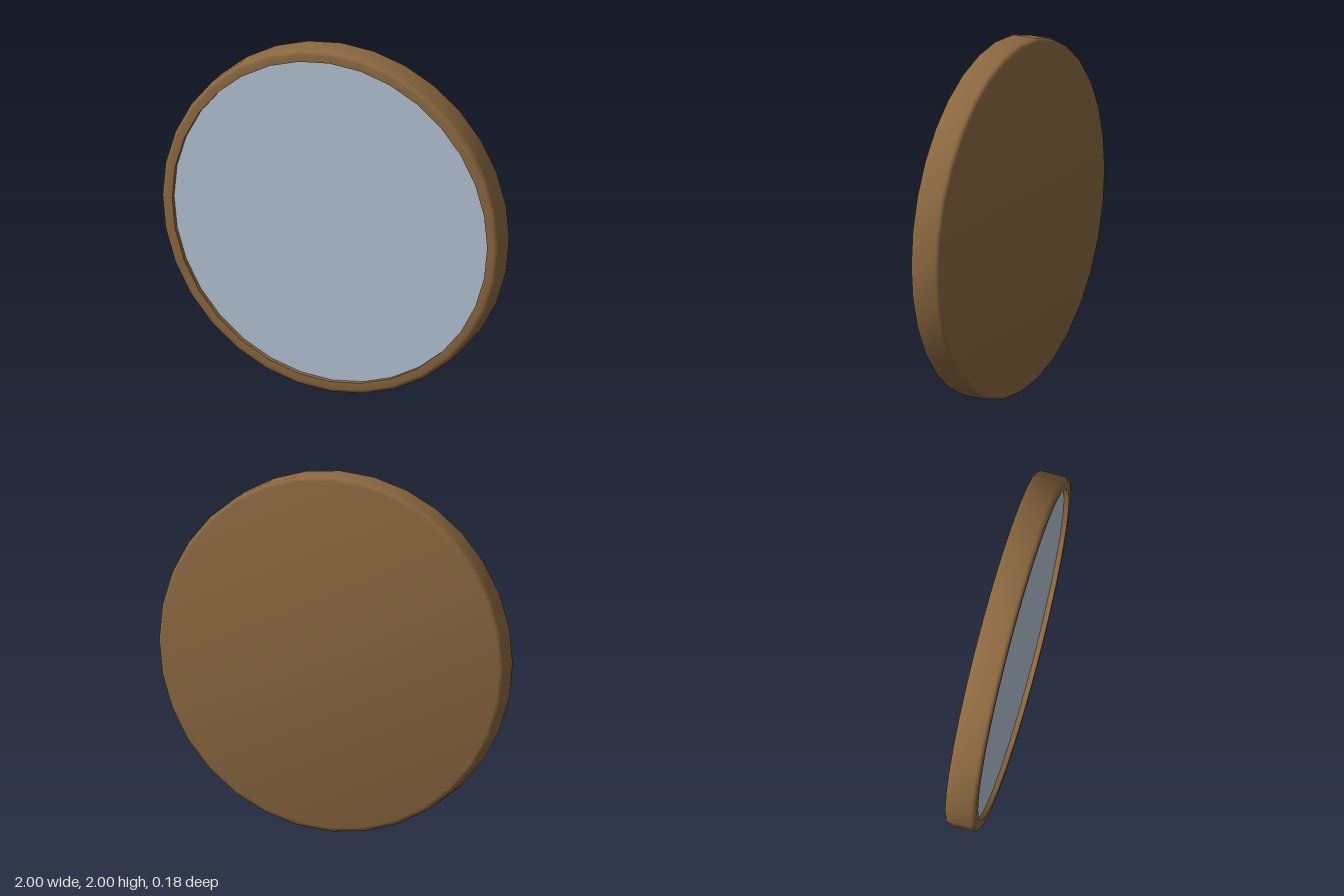
import * as THREE from 'three';
import { toCreasedNormals } from 'three/addons/utils/BufferGeometryUtils.js';

const SIDES = 32, RADIUS = 1, INNER = 0.935, HALF = 0.088, BEVEL = 0.025, GLASS_Z = 0.06;

// Quarter-round outer edge, from angle a (radians) over 90 degrees
function roundedEdge(centreY, a) {
  return [0, 1, 2, 3].map((i) => {
    const t = a + (i * Math.PI) / 6;
    return new THREE.Vector2(RADIUS - BEVEL + BEVEL * Math.cos(t), centreY + BEVEL * Math.sin(t));
  });
}

export function createModel() {
  const group = new THREE.Group();
  group.name = 'roundMirror';

  // Frame: closed back, rounded outer rim, flat front lip and recess wall
  const profile = [
    new THREE.Vector2(0, -HALF),
    ...roundedEdge(-HALF + BEVEL, -Math.PI / 2),
    ...roundedEdge(HALF - BEVEL, 0),
    new THREE.Vector2(INNER, HALF),
    new THREE.Vector2(INNER, GLASS_Z),
  ];
  const frameGeometry = new THREE.LatheGeometry(profile, SIDES).rotateX(Math.PI / 2);
  const frame = new THREE.Mesh(
    toCreasedNormals(frameGeometry, 0.8),
    new THREE.MeshStandardMaterial({ color: 0x8b6840 })
  );
  frame.name = 'frame';
  frame.position.y = RADIUS;

  // Mirror glass set slightly behind the lip
  const glass = new THREE.Mesh(
    new THREE.CircleGeometry(INNER, SIDES),
    new THREE.MeshStandardMaterial({ color: 0xb4c2d4 })
  );
  glass.name = 'mirrorGlass';
  glass.position.set(0, RADIUS, GLASS_Z);

  group.add(frame, glass);
  return group;
}
